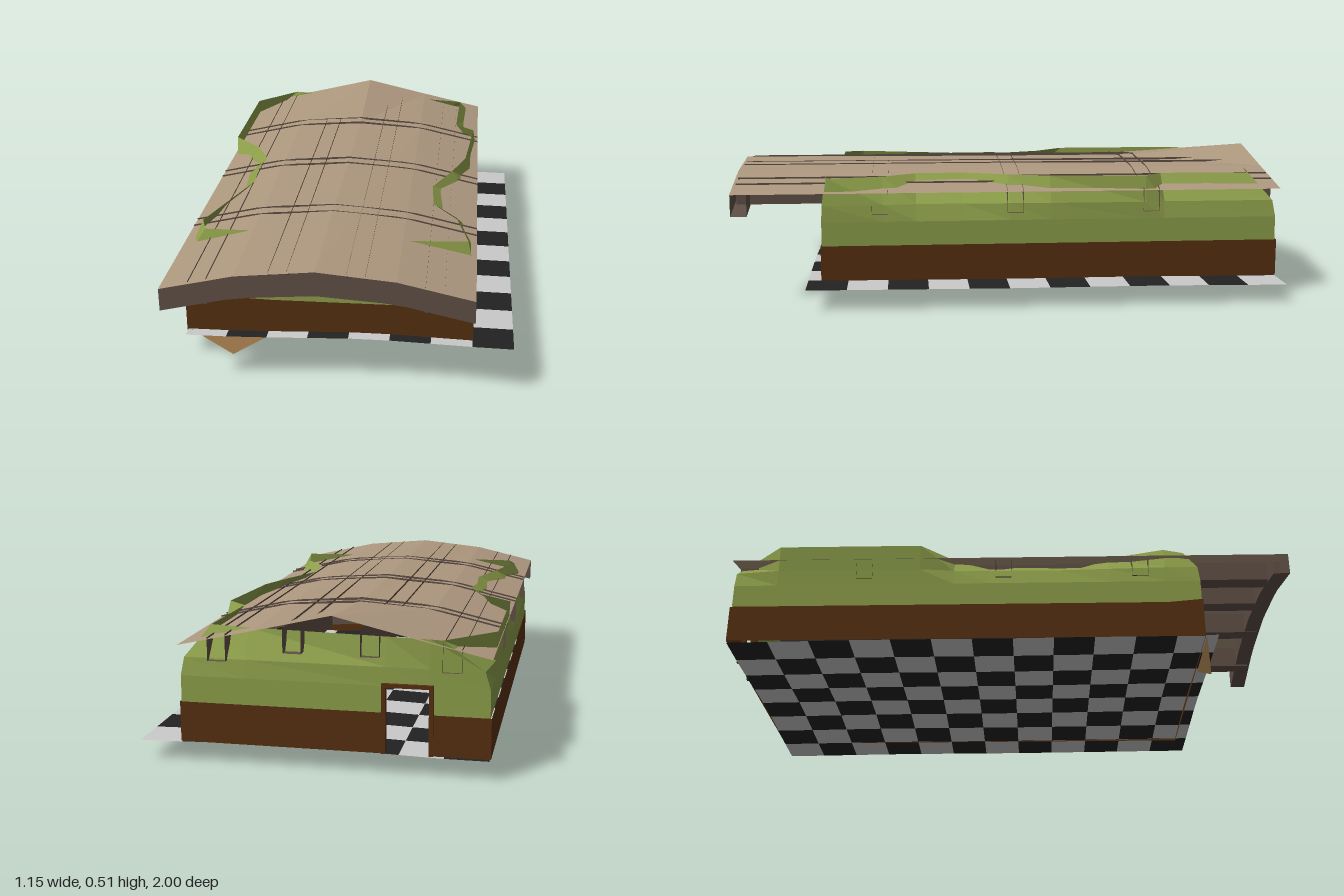
import * as THREE from 'three';

const mat = (name, color) => {
  const m = new THREE.MeshStandardMaterial({ color, side: THREE.DoubleSide, flatShading: true });
  m.name = name;
  return m;
};

// Surface through rows of equally many points; skip(row, col) leaves a hole
function loft(rows, skip = () => false) {
  const n = rows[0].length, idx = [];
  for (let r = 0; r < rows.length - 1; r++)
    for (let c = 0; c < n - 1; c++) {
      if (skip(r, c)) continue;
      const a = r * n + c, b = a + n;
      idx.push(a, a + 1, b, a + 1, b + 1, b);
    }
  const g = new THREE.BufferGeometry();
  g.setAttribute('position', new THREE.Float32BufferAttribute(rows.flat(2), 3));
  g.setIndex(idx);
  g.computeVertexNormals();
  return g;
}

// Roof cross-section, [x, y]
const PROFILE = [[-0.575, 0.392], [-0.33, 0.448], [-0.07, 0.468], [0.19, 0.45], [0.44, 0.394]];
function roofY(x) {
  for (let i = 1; i < PROFILE.length; i++) {
    const [x0, y0] = PROFILE[i - 1], [x1, y1] = PROFILE[i];
    if (x <= x1) return y0 + (y1 - y0) * (x - x0) / (x1 - x0);
  }
  return PROFILE[4][1];
}

export function createModel() {
  const group = new THREE.Group();
  const green = mat('wallGreen', 0x8b9c49), brown = mat('panelBrown', 0x552f10);
  const roofTan = mat('roofTan', 0xae987f), beamGrey = mat('beamGreyBrown', 0x5f4f46);
  const white = mat('tileWhite', 0xcacaca), black = mat('tileBlack', 0x222222);
  const tan = mat('flapTan', 0x9d774a);
  const add = (name, geo, m) => {
    const mesh = new THREE.Mesh(geo, m);
    mesh.name = name;
    group.add(mesh);
    return mesh;
  };

  // Checkered floor, gently warped
  const floor = new THREE.PlaneGeometry(1.15, 1.72, 8, 12);
  floor.rotateX(-Math.PI / 2).translate(0.005, 0, -0.13);
  const p = floor.attributes.position;
  for (let i = 0; i < p.count; i++) {
    const x = p.getX(i), z = p.getZ(i);
    const bump = 0.016 * Math.max(0, 1 - Math.abs(x - 0.07) / 0.45);
    p.setY(i, 0.07 + bump - 0.012 * Math.max(0, -z - 0.5) + 0.008 * Math.max(0, z));
  }
  floor.clearGroups();
  for (let i = 0; i < 96; i++) floor.addGroup(i * 6, 6, ((i % 8) + Math.floor(i / 8)) % 2);
  floor.computeVertexNormals();
  add('floor', floor, [black, white]);

  // Wall ring: [base x, base z, top x, top z], around from the doorway
  const ring = [
    [-0.38, -0.985, -0.38, -0.985], [-0.57, -0.985, -0.42, -0.992], [-0.57, -0.83, -0.575, -0.83],
    [-0.57, -0.32, -0.575, -0.32], [-0.57, -0.2, -0.46, -0.2], [-0.57, -0.07, -0.405, -0.07],
    [-0.57, 0.02, -0.42, 0.02], [-0.57, 0.18, -0.41, 0.18], [-0.57, 0.36, -0.465, 0.36],
    [-0.57, 0.56, -0.525, 0.56], [-0.57, 0.68, -0.5, 0.635], [-0.27, 0.68, -0.27, 0.635],
    [-0.07, 0.68, -0.07, 0.65], [0.1, 0.68, 0.11, 0.68], [0.435, 0.68, 0.41, 0.66],
    [0.435, 0.46, 0.365, 0.46], [0.435, 0.34, 0.28, 0.34], [0.435, 0.17, 0.27, 0.17],
    [0.435, 0, 0.34, 0], [0.435, -0.15, 0.39, -0.15], [0.435, -0.5, 0.42, -0.5],
    [0.435, -0.57, 0.345, -0.57], [0.435, -0.985, 0.355, -0.9], [0.22, -0.985, 0.22, -0.925],
    [-0.24, -0.985, -0.24, -0.97], [-0.38, -0.985, -0.38, -0.985],
  ];
  const doorCol = ring.length - 2;
  const wallRow = (y, t) => ring.map(([bx, bz, tx, tz]) => [bx + (tx - bx) * t, y, bz + (tz - bz) * t]);
  add('greenWalls', loft([wallRow(0.2, 0), wallRow(0.29, 0), wallRow(0.35, 0.12), wallRow(0.445, 1)],
    (r, c) => r === 0 && c === doorCol), green);

  // Brown lower panelling, slightly proud of the wall
  const panelRow = (y) => ring.map(([x, z]) => [x * 1.008, y ?? (x < -0.5 && z > 0.6 ? 0.215 : 0.204), z > 0 ? z * 1.006 : z * 1.006]);
  add('lowerPanels', loft([panelRow(0.07), panelRow()], (r, c) => c === doorCol), brown);

  // Door frame at the back
  for (const x of [-0.386, -0.234]) {
    add('doorPost', new THREE.BoxGeometry(0.014, 0.22, 0.025).translate(x, 0.18, -0.985), brown);
  }
  add('doorLintel', new THREE.BoxGeometry(0.166, 0.012, 0.025).translate(-0.31, 0.293, -0.985), brown);

  // Roof sheet, with the ridge rising toward the back
  const roofRow = (z, ridge) => PROFILE.map(([x, y], i) => [x, i === 2 ? ridge : y, z]);
  add('roof', loft([roofRow(-1, 0.51), roofRow(-0.5, 0.465), roofRow(1, 0.474)]), roofTan);

  // Open-topped channel beams whose edges just break through the roof
  const DEPTH = 0.078, LIP = 0.006;
  const xs = Array.from({ length: 15 }, (_, i) => -0.575 + i * 1.015 / 14);
  for (const z of [0.97, 0.47, -0.02, -0.52]) {
    const lip = z > 0.9 ? 0 : LIP;
    const line = (dz, dy) => xs.map((x) => [x, roofY(x) + dy, z + dz]);
    add(z > 0.9 ? 'frontFascia' : 'crossBeam',
      loft([line(0.029, lip), line(0.029, -DEPTH), line(-0.029, -DEPTH), line(-0.029, lip)]), beamGrey);
  }
  for (const x of [-0.45, -0.19, 0.06, 0.31]) {
    const line = (dx, dy) => [-0.995, -0.5, 0, 0.5, 0.99].map((z) => [x + dx, roofY(dy > 0 ? x + dx : x) + dy, z]);
    add('longBeam', loft([line(-0.03, LIP), line(-0.03, -DEPTH), line(0.03, -DEPTH), line(0.03, LIP)]), beamGrey);
  }

  // Loose flap hanging below the front corner
  const flap = new THREE.BufferGeometry();
  flap.setAttribute('position', new THREE.Float32BufferAttribute(
    [-0.56, 0.076, 0.69, -0.405, 0, 0.72, -0.27, 0.07, 0.69], 3));
  flap.computeVertexNormals();
  add('cornerFlap', flap, tan);

  return group;
}
